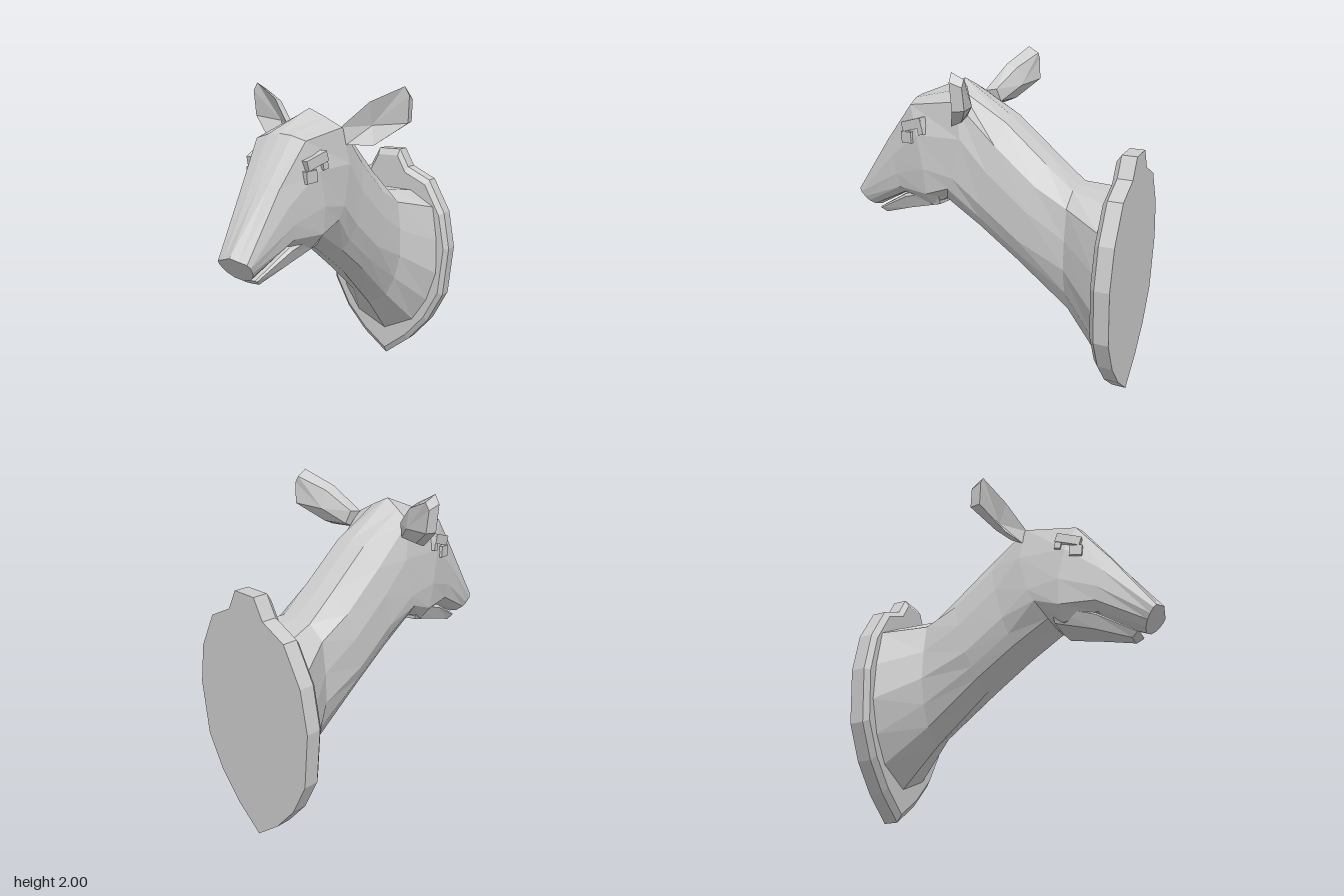
import * as THREE from 'three';

// Flat-faced geometry from a list of triangles
function facets(tris) {
  const g = new THREE.BufferGeometry();
  g.setAttribute('position', new THREE.Float32BufferAttribute(tris.flat(2), 3));
  g.computeVertexNormals();
  return g;
}

const centre = (ring) => [0, 1, 2].map((k) => ring.reduce((s, p) => s + p[k], 0) / ring.length);

// Half section (top to bottom on +x) completed by its mirror image
const mirrorRing = (half) => [
  ...half,
  ...half.slice(1, -1).reverse().map(([x, y, z]) => [-x, y, z]),
];

// Skin over half sections ordered from back to front
function loft(halves) {
  const rings = halves.map(mirrorRing);
  const n = rings[0].length;
  const first = rings[0], last = rings[rings.length - 1];
  const c0 = centre(first), c1 = centre(last);
  const tris = [];
  for (let i = 0; i < n; i++) {
    const j = (i + 1) % n;
    for (let r = 0; r < rings.length - 1; r++) {
      const a = rings[r], b = rings[r + 1];
      tris.push([a[i], b[i], a[j]], [b[i], b[j], a[j]]);
    }
    tris.push([c0, first[i], first[j]], [c1, last[j], last[i]]);
  }
  return facets(tris);
}

// Half section between a top and a bottom point [y, z]: the profile gives
// [share of width, share of the way down]; bow sweeps the sides backwards
function section(profile, width, top, bottom, bow = 0) {
  return [[0, 0], ...profile, [0, 1]].map(([w, t]) => [
    w * width,
    THREE.MathUtils.lerp(top[0], bottom[0], t),
    THREE.MathUtils.lerp(top[1], bottom[1], t) - bow * Math.sin(Math.PI * t),
  ]);
}

// Cupped ear: rim, hollow front and thick pointed back
function earGeometry(side) {
  const rim = [
    [0.19, 1.76, 0.13], [0.34, 1.91, 0.05], [0.53, 2.0, -0.02], [0.56, 1.95, -0.02],
    [0.55, 1.79, -0.03], [0.38, 1.66, 0.07], [0.22, 1.66, 0.11],
  ];
  const mid = centre(rim);
  const back = rim.map(([x, y, z]) => [
    mid[0] + (x - mid[0]) * 0.92, mid[1] + (y - mid[1]) * 0.8, z - 0.07,
  ]);
  const pit = [0.33, 1.77, 0.0];
  const hump = [0.35, 1.78, -0.05];
  const tris = [];
  rim.forEach((p, i) => {
    const j = (i + 1) % rim.length;
    tris.push([pit, rim[j], p], [p, rim[j], back[i]], [rim[j], back[j], back[i]], [hump, back[i], back[j]]);
  });
  return facets(tris.map((t) => {
    const m = t.map(([x, y, z]) => [x * side, y, z]);
    return side > 0 ? m : m.reverse();
  }));
}

export function createModel() {
  const model = new THREE.Group();
  model.name = 'mountedDoeHead';
  const grey = new THREE.MeshStandardMaterial({ color: 0xcccccc });
  grey.name = 'plain grey';

  const add = (name, geometry) => {
    const mesh = new THREE.Mesh(geometry, grey);
    mesh.name = name;
    model.add(mesh);
    return mesh;
  };

  // Wall plaque with a bevelled front edge
  const outline = [
    [0, 1.53], [0.08, 1.53], [0.145, 1.41], [0.31, 1.33], [0.43, 1.11],
    [0.475, 0.86], [0.44, 0.52], [0.33, 0.31], [0.18, 0.14], [0, 0],
  ];
  const plaqueRing = (z, s) => outline.map(([x, y]) => [x * s, 0.8 + (y - 0.8) * s, z]);
  add('plaque', loft([plaqueRing(-0.94, 1), plaqueRing(-0.85, 1), plaqueRing(-0.82, 0.94)]));

  // Neck and head, from the plaque to the nose
  const shoulder = [[0.47, 0.007], [0.9, 0.105], [0.99, 0.33], [1, 0.55], [0.83, 0.745], [0.56, 0.9]];
  const throat = [[0.48, 0.015], [0.88, 0.19], [1, 0.42], [0.97, 0.71], [0.79, 0.845], [0.6, 0.94]];
  const skull = [[0.43, 0.065], [0.87, 0.14], [1, 0.42], [1, 0.74], [0.94, 0.84], [0.55, 0.96]];
  const muzzle = [[0.35, 0.01], [0.74, 0.05], [0.96, 0.3], [1, 0.6], [0.93, 0.84], [0.6, 0.97]];
  const nose = [[0.45, 0.1], [0.91, 0.19], [1, 0.32], [0.95, 0.52], [0.82, 0.71], [0.5, 0.9]];
  add('neckAndHead', loft([
    section(shoulder, 0.4, [1.26, -0.825], [0.2, -0.825]),
    section(shoulder, 0.235, [1.295, -0.58], [0.46, -0.58]),
    section(throat, 0.23, [1.44, -0.41], [0.77, -0.23]),
    section(throat, 0.225, [1.66, -0.15], [0.945, 0.02]),
    section(skull, 0.235, [1.87, 0.17], [1.1, 0.26], 0.12),
    section(muzzle, 0.23, [1.745, 0.475], [1.055, 0.35], 0.05),
    section(muzzle, 0.175, [1.48, 0.67], [1.11, 0.56], 0.03),
    section(nose, 0.11, [1.12, 0.94], [0.965, 0.82]),
  ]));

  // Lower jaw, leaving a thin open mouth
  const jaw = [[0.85, 0], [1, 0.15], [0.75, 0.9]];
  add('lowerJaw', loft([
    section(jaw, 0.18, [1.2, 0.28], [1.07, 0.29]),
    section(jaw, 0.13, [1.11, 0.55], [1.0, 0.53]),
    section(jaw, 0.06, [0.965, 0.79], [0.93, 0.74]),
  ]));

  // Ears, eyes and brows on both sides
  for (const [side, label] of [[1, 'left'], [-1, 'right']]) {
    add(label + 'Ear', earGeometry(side));
    const block = (name, size, [x, y, z], pitch) => {
      const mesh = add(label + name, new THREE.BoxGeometry(...size));
      mesh.position.set(x * side, y, z);
      mesh.rotation.set(pitch, -0.22 * side, 0, 'YXZ');
    };
    block('Eye', [0.05, 0.07, 0.08], [0.195, 1.515, 0.465], 0.08);
    block('Brow', [0.06, 0.06, 0.16], [0.2, 1.6, 0.42], 0.3);
    block('BrowEnd', [0.05, 0.1, 0.04], [0.213, 1.595, 0.36], 0.2);
  }
  return model;
}
